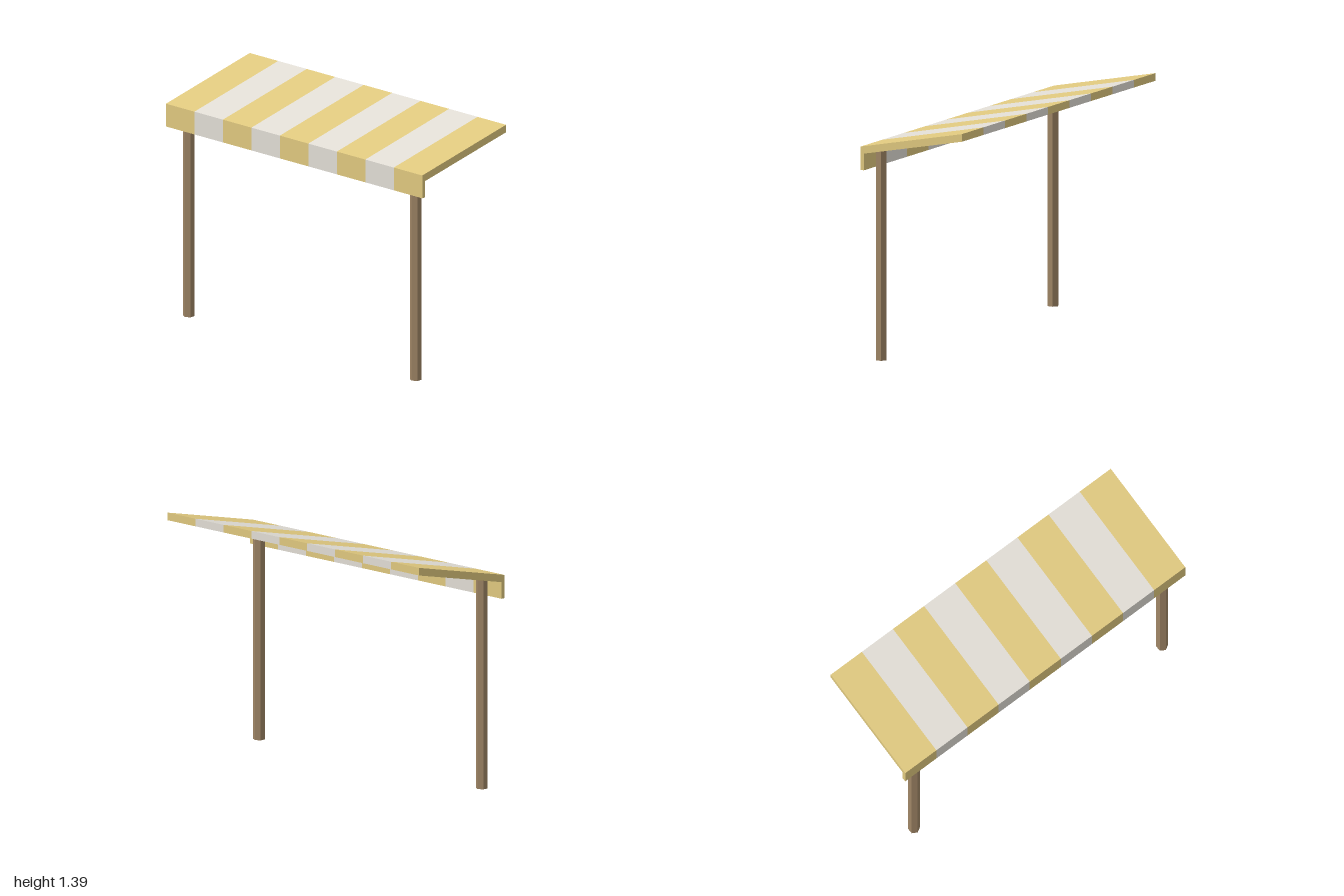
import * as THREE from 'three';

const yellow = new THREE.MeshStandardMaterial({ color: 0xe0c97f, flatShading: true });
const cream = new THREE.MeshStandardMaterial({ color: 0xe2ded6, flatShading: true });
const wood = new THREE.MeshStandardMaterial({ color: 0xa08666, flatShading: true });

const STRIPES = 9;
const WIDTH = 2 / STRIPES;

// Side section of the awning: sloping roof with a hanging front valance, as (-z, y)
function awningSection() {
  return new THREE.Shape([
    [-0.34, 1.103], [-0.317, 1.103], [-0.317, 1.199],
    [0.34, 1.342], [0.34, 1.386], [-0.34, 1.237],
  ].map(([x, y]) => new THREE.Vector2(x, y)));
}

export function createModel() {
  const model = new THREE.Group();
  model.name = 'awning';

  // Striped canopy: one section extruded per stripe
  const canopy = new THREE.Group();
  canopy.name = 'canopy';
  const stripe = new THREE.ExtrudeGeometry(awningSection(), { depth: WIDTH, bevelEnabled: false });
  stripe.rotateY(Math.PI / 2);
  for (let i = 0; i < STRIPES; i++) {
    const mesh = new THREE.Mesh(stripe, i % 2 ? cream : yellow);
    mesh.name = `stripe${i + 1}`;
    mesh.position.x = -1 + i * WIDTH;
    canopy.add(mesh);
  }
  model.add(canopy);

  // Hexagonal posts under the front edge
  const HEIGHT = 1.209;
  const post = new THREE.CylinderGeometry(0.034, 0.034, HEIGHT, 6);
  for (const side of [-1, 1]) {
    const mesh = new THREE.Mesh(post, wood);
    mesh.name = side > 0 ? 'leftPost' : 'rightPost';
    mesh.position.set(side * 0.886, HEIGHT / 2, 0.274);
    model.add(mesh);
  }
  return model;
}
